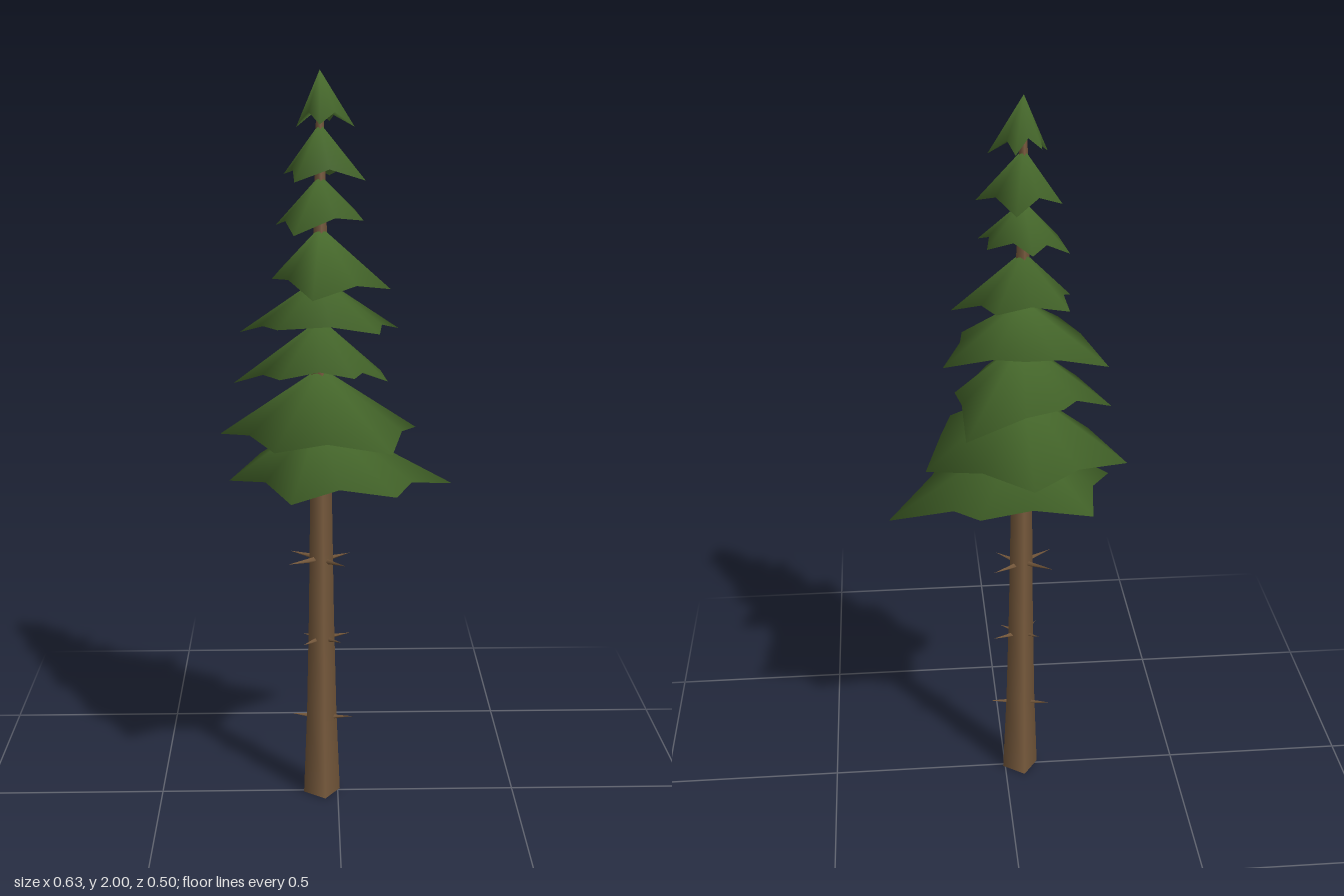
import * as THREE from 'three';

const CX = -0.045; // trunk axis

// Foliage tiers: apex height, valley reach and rise, branch tips [x, y, z] in order around the trunk
const TIERS = [
  { apex: 1.11, reach: 0.77, rise: 0.13, tips: [[0.316, 0.895, -0.073], [0.147, 0.945, 0.212], [-0.123, 0.94, 0.252], [-0.289, 0.945, 0.053], [-0.214, 0.95, -0.193], [0.08, 0.95, -0.19]] },
  { apex: 1.24, reach: 0.79, rise: 0.13, tips: [[0.215, 1.05, -0.097], [0.135, 1.06, 0.215], [-0.165, 1.06, 0.195], [-0.318, 1.04, -0.073], [-0.055, 1.06, -0.253]] },
  { apex: 1.37, reach: 0.79, rise: 0.13, tips: [[0.13, 1.21, 0.04], [0.04, 1.24, 0.14], [-0.15, 1.24, 0.15], [-0.277, 1.19, -0.035], [-0.14, 1.23, -0.13], [0.114, 1.18, -0.197]] },
  { apex: 1.48, reach: 0.79, rise: 0.13, tips: [[0.164, 1.33, -0.07], [0.105, 1.35, 0.115], [-0.155, 1.37, 0.155], [-0.26, 1.32, -0.075], [-0.04, 1.37, -0.14]] },
  { apex: 1.61, reach: 0.77, rise: 0.15, tips: [[0.137, 1.45, 0.02], [-0.066, 1.45, 0.193], [-0.17, 1.48, 0.03], [-0.155, 1.48, -0.09], [0.03, 1.48, -0.1]] },
  { apex: 1.74, reach: 0.72, rise: 0.2, tips: [[0.065, 1.63, 0.047], [-0.112, 1.605, 0.15], [-0.16, 1.61, -0.03], [-0.06, 1.63, -0.1], [0.05, 1.64, -0.07]] },
  { apex: 1.87, reach: 0.7, rise: 0.22, tips: [[0.07, 1.73, 0.045], [-0.11, 1.73, 0.09], [-0.138, 1.74, -0.035], [-0.02, 1.73, -0.1]] },
  { apex: 2.0, reach: 0.68, rise: 0.25, tips: [[0.043, 1.86, -0.003], [-0.046, 1.87, 0.07], [-0.105, 1.86, 0.01], [-0.085, 1.88, -0.05], [-0.02, 1.87, -0.065]] },
];

// Closed star-rimmed cone with a shallow hollow underside; smooth across the rim
function tierGeometry({ apex, reach, rise, tips }) {
  const polar = tips.map(([x, y, z]) => ({ a: Math.atan2(z, x - CX), r: Math.hypot(x - CX, z), y }));
  const meanY = polar.reduce((sum, p) => sum + p.y, 0) / polar.length;
  const pos = [CX, apex, 0, CX, meanY + 0.3 * (apex - meanY), 0];
  const add = (a, r, y) => pos.push(CX + r * Math.cos(a), y, r * Math.sin(a));
  polar.forEach((p, i) => {
    const q = polar[(i + 1) % polar.length];
    const da = (q.a - p.a + Math.PI * 2) % (Math.PI * 2);
    const y = (p.y + q.y) / 2;
    add(p.a, p.r, p.y);
    add(p.a + da / 2, reach * (p.r + q.r) / 2, y + rise * (apex - y));
  });
  const n = tips.length * 2;
  const index = [];
  for (let i = 0; i < n; i++) {
    const cur = 2 + i, next = 2 + ((i + 1) % n);
    index.push(0, next, cur, 1, cur, next);
  }
  const g = new THREE.BufferGeometry();
  g.setAttribute('position', new THREE.Float32BufferAttribute(pos, 3));
  g.setIndex(index);
  g.computeVertexNormals();
  return g;
}

export function createModel() {
  const bark = new THREE.MeshStandardMaterial({ color: 0x7a5c3e });
  bark.name = 'bark brown';
  const needles = new THREE.MeshStandardMaterial({ color: 0x4a6e2e });
  needles.name = 'needle green';

  const tree = new THREE.Group();
  tree.name = 'pineTree';

  // Four-sided tapered trunk with a slight flare at the foot, closed below
  const trunk = new THREE.Group();
  trunk.name = 'trunk';
  trunk.position.x = CX;
  trunk.rotation.y = Math.PI / 18;
  const profile = [[0.052, 0], [0.042, 0.25], [0.035, 0.55], [0.029, 0.95], [0.02, 1.5], [0.009, 1.93]];
  const stem = new THREE.Mesh(
    new THREE.LatheGeometry(profile.map(([r, y]) => new THREE.Vector2(r, y)), 4), bark);
  stem.name = 'stem';
  const foot = new THREE.Mesh(new THREE.CircleGeometry(0.052, 4).rotateX(Math.PI / 2), bark);
  foot.name = 'foot';
  trunk.add(stem, foot);
  tree.add(trunk);

  // Bare twigs: height, then tip offset from the trunk axis in x and z
  const twigs = [
    [0.7, 0.08, -0.05], [0.705, -0.09, 0.058], [0.7, 0.065, 0.06], [0.705, -0.085, -0.055],
    [0.47, 0.08, -0.03], [0.47, -0.05, 0.055], [0.47, -0.05, -0.03], [0.47, 0.055, 0.04],
    [0.23, 0.088, 0.005], [0.23, -0.085, -0.02],
  ];
  for (const [y, dx, dz] of twigs) {
    const reach = Math.hypot(dx, dz);
    const g = new THREE.ConeGeometry(0.01, reach, 4);
    g.translate(0, reach / 2, 0);
    g.rotateZ(-Math.PI / 2 + 0.03);
    const twig = new THREE.Mesh(g, bark);
    twig.name = 'twig';
    twig.position.set(CX, y, 0);
    twig.rotation.y = -Math.atan2(dz, dx);
    tree.add(twig);
  }

  // Needle tiers
  TIERS.forEach((tier, i) => {
    const mesh = new THREE.Mesh(tierGeometry(tier), needles);
    mesh.name = `foliageTier${i + 1}`;
    tree.add(mesh);
  });

  return tree;
}
